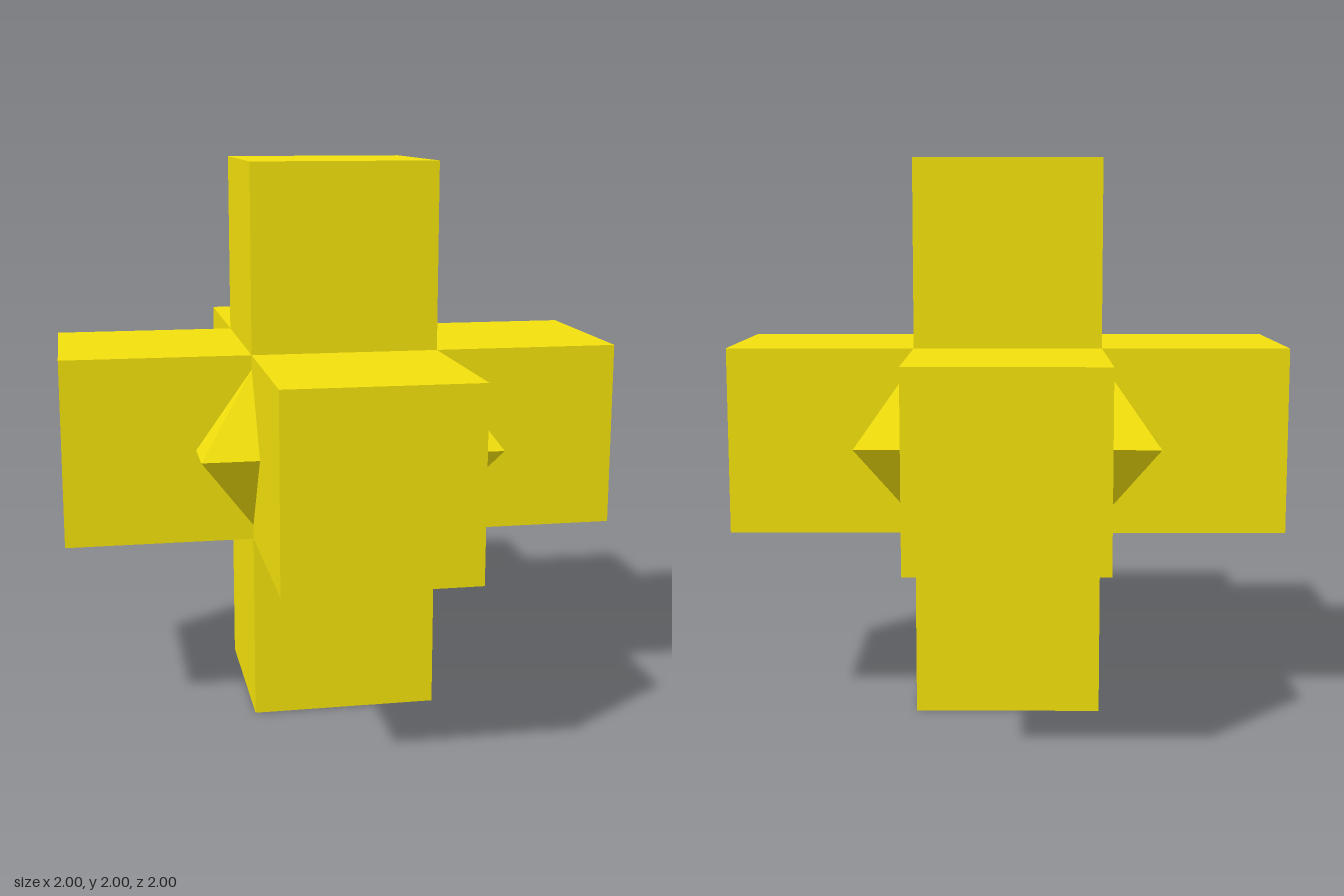
import * as THREE from 'three';

export function createModel() {
  const model = new THREE.Group();
  const material = new THREE.MeshStandardMaterial({ color: 0xf2e00c, flatShading: true });
  const unit = 2 / 3;

  // Six cubes, one on each side of the centre
  const cube = new THREE.BoxGeometry(unit, unit, unit);
  const arms = {
    topArm: [0, 1, 0], bottomArm: [0, -1, 0],
    leftArm: [1, 0, 0], rightArm: [-1, 0, 0],
    frontArm: [0, 0, 1], backArm: [0, 0, -1],
  };
  for (const [name, direction] of Object.entries(arms)) {
    const arm = new THREE.Mesh(cube, material);
    arm.name = name;
    arm.position.fromArray(direction).multiplyScalar(unit);
    arm.position.y += 1;
    model.add(arm);
  }

  // Octahedron at the centre, its side tips showing between the arms
  const core = new THREE.Mesh(new THREE.OctahedronGeometry(0.754), material);
  core.name = 'coreGem';
  core.position.y = 1;
  core.rotation.y = Math.PI / 4;
  model.add(core);

  return model;
}
